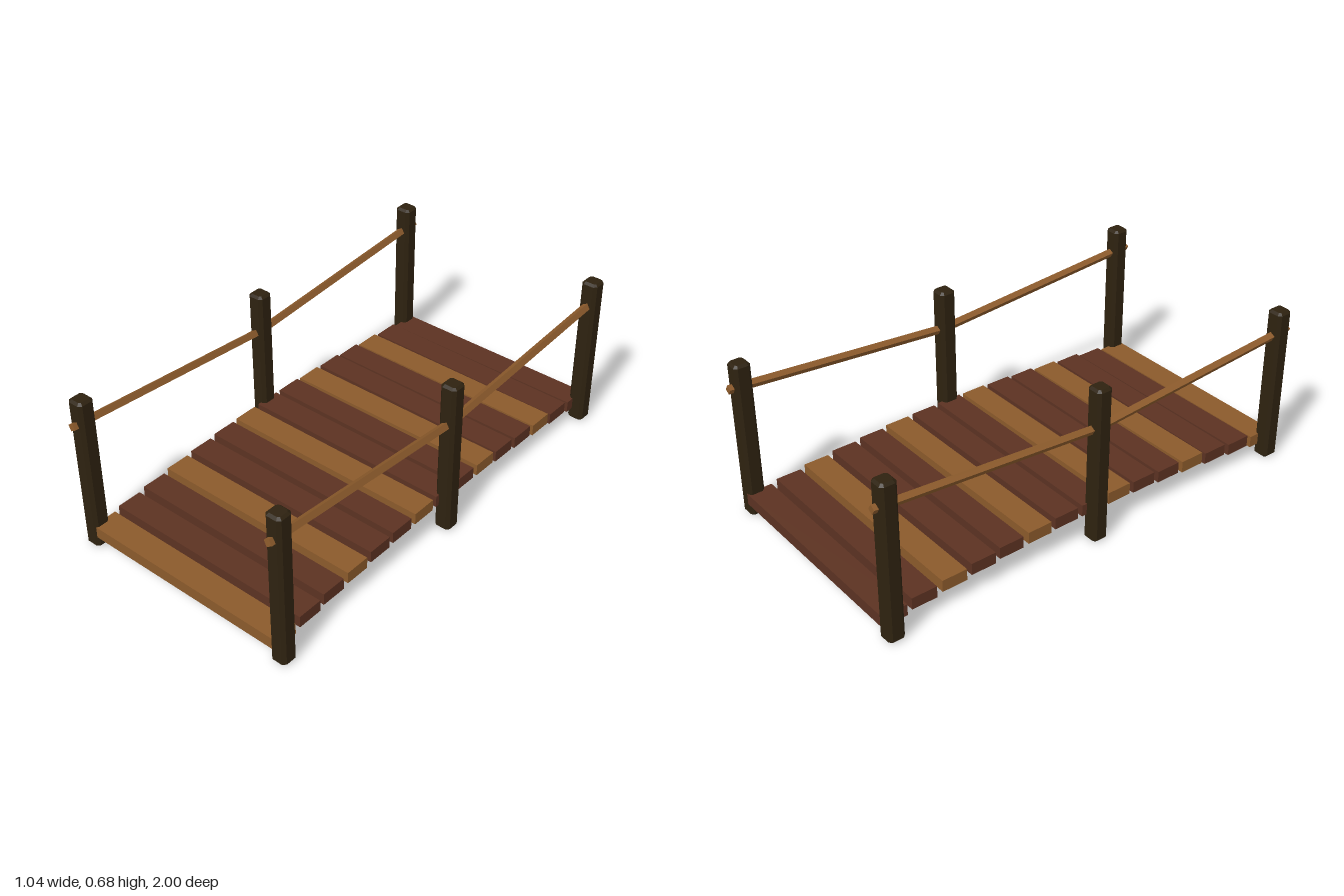
import * as THREE from 'three';

const material = (name, color) => {
  const m = new THREE.MeshStandardMaterial({ color, flatShading: true });
  m.name = name;
  return m;
};

// Square post with cut corners and chamfered ends, standing on y = 0
function postGeometry(width, height) {
  const bevel = 0.01, h = width / 2 - bevel, c = 0.007;
  const shape = new THREE.Shape([
    [h - c, -h], [h, c - h], [h, h - c], [h - c, h],
    [c - h, h], [-h, h - c], [-h, c - h], [c - h, -h],
  ].map(([x, y]) => new THREE.Vector2(x, y)));
  return new THREE.ExtrudeGeometry(shape, {
    depth: height - 2 * bevel, bevelEnabled: true,
    bevelSize: bevel, bevelThickness: bevel, bevelSegments: 1,
  }).rotateX(-Math.PI / 2).translate(0, bevel, 0);
}

export function createModel() {
  const group = new THREE.Group();
  const postWood = material('dark post wood', 0x2e2210);
  const darkWood = material('red brown wood', 0x5c3222);
  const lightWood = material('light brown wood', 0x8b5a2b);

  const add = (name, geometry, mat, x, y, z) => {
    const mesh = new THREE.Mesh(geometry, mat);
    mesh.name = name;
    mesh.position.set(x, y, z);
    group.add(mesh);
    return mesh;
  };

  // Arched deck: every third plank is light, each slightly askew
  const count = 15;
  const plank = new THREE.BoxGeometry(0.942, 0.05, 0.11);
  for (let i = 0; i < count; i++) {
    const t = i / (count - 1);
    const y = 0.077 + 0.063 * Math.sin(Math.PI * t);
    const mesh = add('plank', plank, i % 3 ? darkWood : lightWood, 0, y, 0.92 - 1.845 * t);
    mesh.rotation.y = 0.003 * Math.sin(i * 2.3);
    mesh.rotation.z = 0.002 * Math.sin(i * 3.7);
  }

  // Posts and sagging handrails on both sides
  const post = postGeometry(0.071, 0.683);
  const sag = 0.077;
  const rail = new THREE.BoxGeometry(0.026, 0.026, Math.hypot(1, sag)).rotateZ(Math.PI / 6);
  for (const x of [0.485, -0.485]) {
    for (const z of [0.945, 0, -0.945]) add('post', post, postWood, x, 0, z);
    for (const dir of [1, -1]) {
      const mesh = add('handrail', rail, lightWood, x, 0.58 - sag / 2, dir * 0.5);
      mesh.rotation.x = -dir * Math.atan(sag);
    }
  }
  return group;
}
